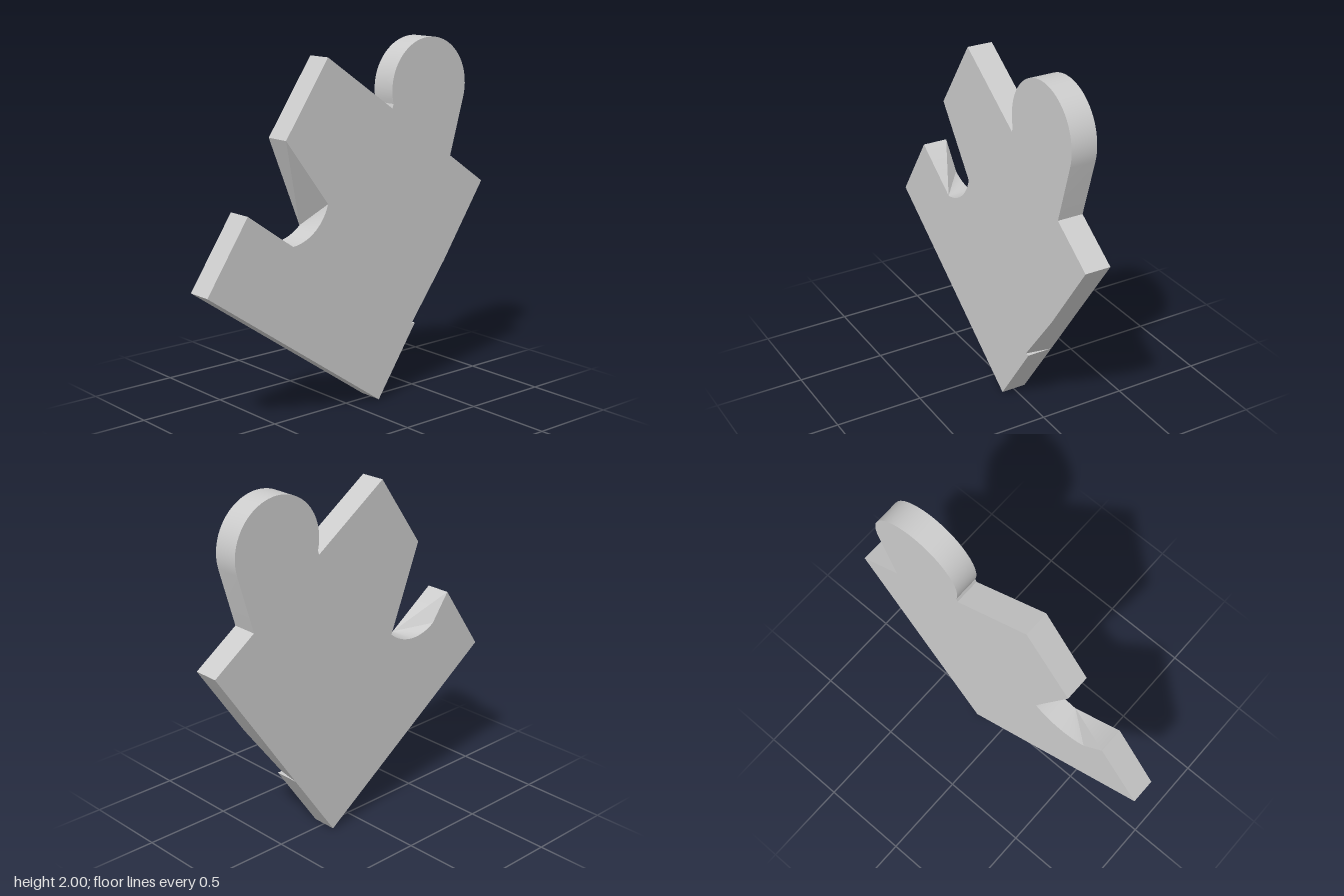
import * as THREE from 'three';
import { toCreasedNormals } from 'three/addons/utils/BufferGeometryUtils.js';

const HALF = 0.072;
const V = (x, y) => new THREE.Vector2(x, y);

// points on a circle between two angles (degrees), optionally clamped to a range
function arc(cx, cy, r, from, to, n, lo = -Infinity, hi = Infinity) {
  const pts = [];
  for (let i = 0; i <= n; i++) {
    const d = THREE.MathUtils.clamp(from + (to - from) * i / n, lo, hi);
    const a = THREE.MathUtils.degToRad(d);
    pts.push(V(cx + r * Math.cos(a), cy + r * Math.sin(a)));
  }
  return pts;
}

// outline of one face; the two faces differ in the side notch and the socket arc
function outline(front) {
  return [
    V(0.18, 0),
    V(0.451, 0.395), front ? V(0.425, 0.395) : V(0.451, 0.395), V(0.675, 0.725), // side notch
    V(0.965, 1.15), V(0.71, 1.325),
    ...arc(0.541, 1.725, 0.275, -16, 195, 40),                                  // round tab
    V(0.268, 1.63), V(-0.183, 1.935), V(-0.462, 1.53),
    ...arc(-0.445, 1.24, 0.27, -16, -124, 36, front ? -85 : -124, front ? -16 : -48), // socket
    V(-0.71, 1.172), V(-0.967, 0.79),
  ];
}

function pieceGeometry() {
  const front = outline(true), back = outline(false), pos = [];
  const tri = (...p) => {
    const [a, b, c] = p;
    const area = b.clone().sub(a).cross(c.clone().sub(a)).length();
    if (area > 1e-7) p.forEach(q => pos.push(q.x, q.y, q.z));
  };
  const F = front.map(p => new THREE.Vector3(p.x, p.y, HALF));
  const B = back.map(p => new THREE.Vector3(p.x, p.y, -HALF));

  // flat faces
  for (const [a, b, c] of THREE.ShapeUtils.triangulateShape(front, [])) tri(F[a], F[b], F[c]);
  for (const [a, b, c] of THREE.ShapeUtils.triangulateShape(back, [])) tri(B[c], B[b], B[a]);

  // rim walls joining the two outlines
  for (let i = 0; i < F.length; i++) {
    const j = (i + 1) % F.length;
    tri(F[i], B[i], B[j]);
    tri(F[i], B[j], F[j]);
  }
  const g = new THREE.BufferGeometry();
  g.setAttribute('position', new THREE.Float32BufferAttribute(pos, 3));
  return toCreasedNormals(g, THREE.MathUtils.degToRad(25));
}

export function createModel() {
  const group = new THREE.Group();
  group.name = 'jigsawPiece';
  const mesh = new THREE.Mesh(pieceGeometry(),
    new THREE.MeshStandardMaterial({ color: 0xcccccc }));
  mesh.name = 'puzzlePieceBody';
  group.add(mesh);
  return group;
}
